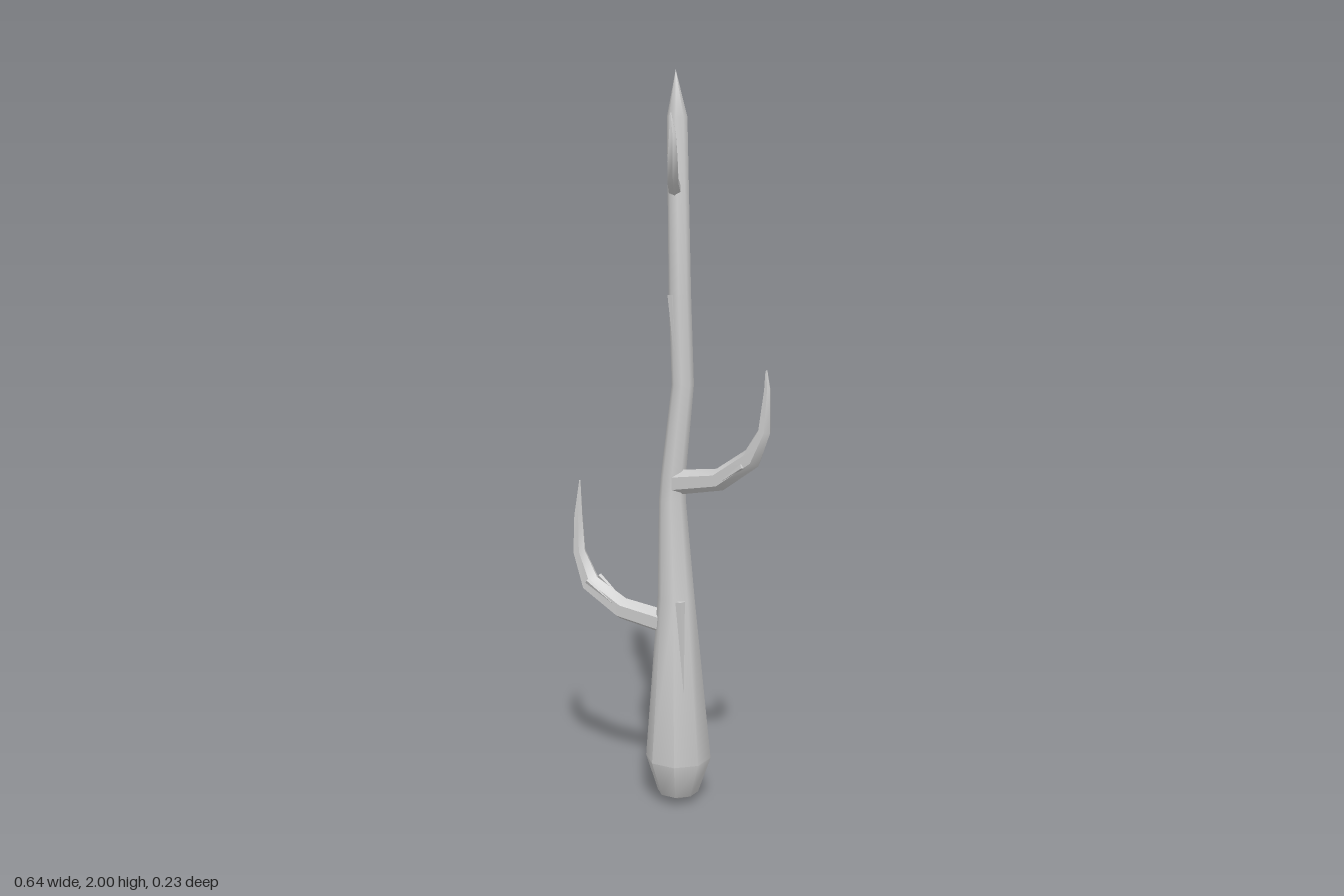
import * as THREE from 'three';
import { toCreasedNormals } from 'three/addons/utils/BufferGeometryUtils.js';

const V = (x, y, z) => new THREE.Vector3(x, y, z);

// Sweep a polygon ring along stations [x, y, z, radius]; "side" is the fixed ring axis.
// With level = true every ring stays horizontal.
function sweep(stations, side, sides, phase = 0, level = false) {
  const centres = stations.map(s => V(s[0], s[1], s[2]));
  const last = centres.length - 1;
  const rings = centres.map((c, i) => {
    const t = level ? V(0, 1, 0)
      : centres[Math.min(i + 1, last)].clone().sub(centres[Math.max(i - 1, 0)]).normalize();
    const u = side.clone().addScaledVector(t, -side.dot(t)).normalize();
    const v = t.clone().cross(u);
    return Array.from({ length: sides }, (_, j) => {
      const a = phase + j / sides * Math.PI * 2;
      return c.clone().addScaledVector(u, Math.cos(a) * stations[i][3])
        .addScaledVector(v, Math.sin(a) * stations[i][3]);
    });
  });
  const pos = [];
  const tri = (...pts) => pts.forEach(p => pos.push(p.x, p.y, p.z));
  for (let j = 0; j < sides; j++) {
    const k = (j + 1) % sides;
    for (let i = 0; i < last; i++) {
      const [a, b, c, d] = [rings[i][j], rings[i][k], rings[i + 1][k], rings[i + 1][j]];
      if (stations[i][3] > 0) tri(a, b, stations[i + 1][3] > 0 ? c : centres[i + 1]);
      if (stations[i + 1][3] > 0) tri(stations[i][3] > 0 ? a : centres[i], c, d);
    }
    if (stations[0][3] > 0) tri(centres[0], rings[0][k], rings[0][j]);
    if (stations[last][3] > 0) tri(centres[last], rings[last][j], rings[last][k]);
  }
  const geo = new THREE.BufferGeometry();
  geo.setAttribute('position', new THREE.Float32BufferAttribute(pos, 3));
  return toCreasedNormals(geo, 0.85);
}

export function createModel() {
  const group = new THREE.Group();
  const bark = new THREE.MeshStandardMaterial({ color: 0xcccccc });
  bark.name = 'pale grey bark';
  const add = (name, geo) => {
    const mesh = new THREE.Mesh(geo, bark);
    mesh.name = name;
    group.add(mesh);
  };

  // Trunk: bulbous foot, slight bends, pointed top
  add('trunk', sweep([
    [0.023, 0.005, -0.033, 0], [0.023, 0.03, -0.034, 0.057],
    [0.023, 0.13, -0.035, 0.091], [0.016, 0.59, -0.034, 0.051],
    [0.004, 0.86, -0.034, 0.037], [0.007, 0.93, -0.034, 0.034],
    [0.037, 1.18, -0.032, 0.03], [0.028, 1.42, -0.031, 0.03],
    [0.02, 1.88, -0.029, 0.027], [0.015, 2.0, -0.03, 0],
  ], V(1, 0, 0), 8, Math.PI / 8, true));

  // Lower branch, reaching to -x
  add('lowerBranch', sweep([
    [-0.015, 0.514, -0.032, 0.034], [-0.155, 0.533, -0.032, 0.032],
    [-0.262, 0.592, -0.031, 0.029], [-0.302, 0.68, -0.033, 0.019],
    [-0.304, 0.785, -0.033, 0.013], [-0.298, 0.885, -0.033, 0.002],
  ], V(0, 0, 1), 6, Math.PI / 6));

  // Middle branch, reaching to +x
  add('middleBranch', sweep([
    [0.02, 0.912, -0.032, 0.034], [0.16, 0.936, -0.016, 0.03],
    [0.262, 1.005, -0.004, 0.028], [0.301, 1.08, 0.004, 0.018],
    [0.309, 1.19, 0.006, 0.009], [0.307, 1.238, 0.008, 0.003],
  ], V(-0.12, 0, 0.99), 6, Math.PI / 6));

  // Small hooked branch near the top, reaching forward
  add('upperBranch', sweep([
    [0.02, 1.692, -0.018, 0.018], [0.057, 1.717, 0.055, 0.016],
    [0.08, 1.768, 0.097, 0.015], [0.086, 1.83, 0.107, 0.01],
    [0.079, 1.885, 0.105, 0.002],
  ], V(0.87, 0, -0.49), 6, Math.PI / 6));

  // Raised bark ridges, widest at their blunt tops
  const ridges = [
    [[0.068, 0.33, 0.013], [0.052, 0.59, 0.006], 0.013],
    [[0.02, 0.62, -0.078], [0.006, 0.83, -0.064], 0.011],
    [[0.032, 1.2, -0.006], [0.016, 1.42, -0.006], 0.01],
    [[0.04, 1.2, -0.056], [0.034, 1.42, -0.058], 0.011],
    [[-0.17, 0.55, -0.004], [-0.258, 0.605, -0.006], 0.008],
    [[-0.17, 0.555, -0.052], [-0.25, 0.61, -0.055], 0.008],
    [[0.17, 0.95, -0.036], [0.268, 1.018, -0.026], 0.007],
    [[0.16, 0.925, 0.008], [0.246, 0.985, 0.02], 0.008],
  ];
  for (const [from, to, r] of ridges)
    add('barkRidge', sweep([[...from, 0], [...to, r]], V(0.6, 0, 0.8), 4));
  return group;
}
